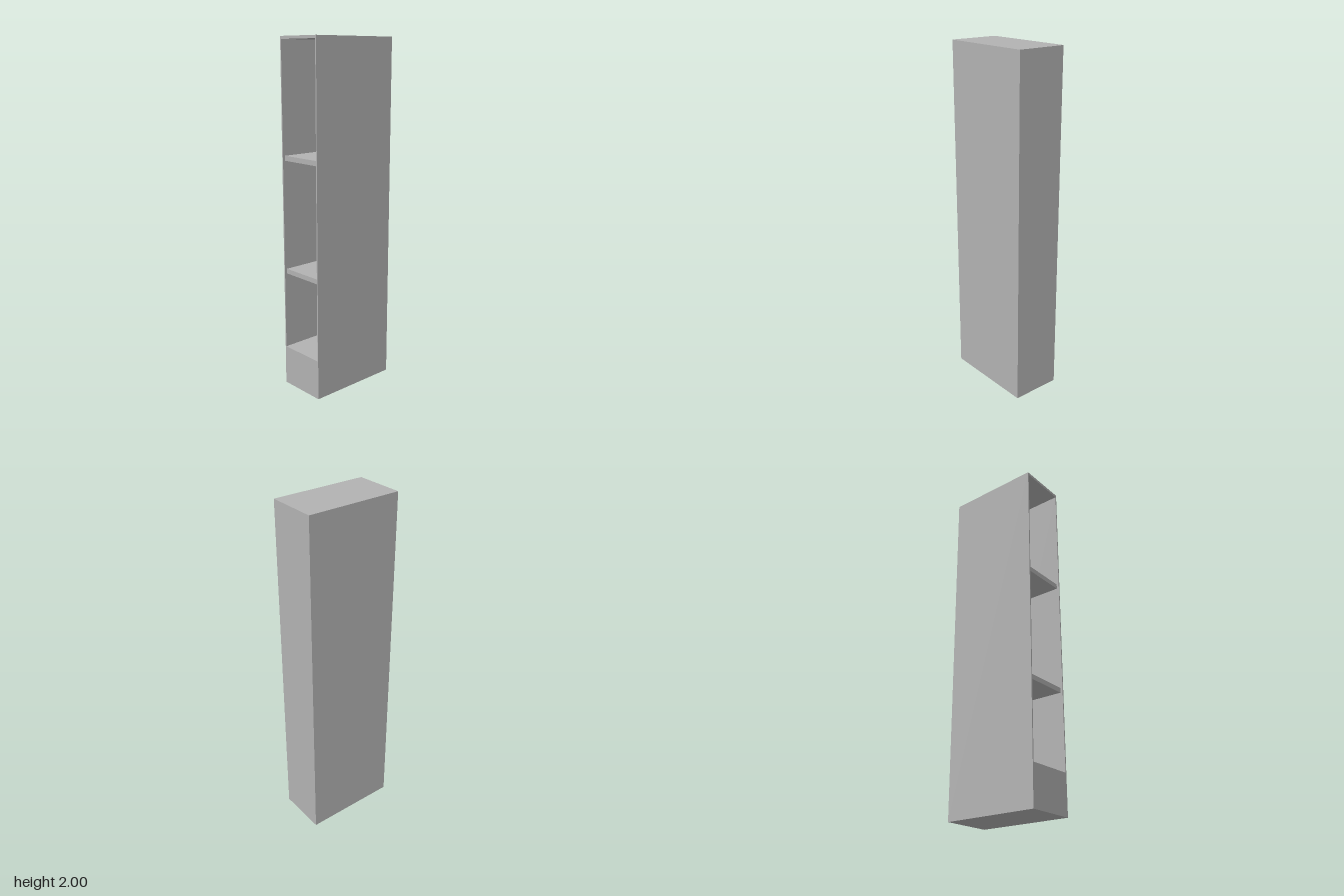
import * as THREE from 'three';

const W = 0.292, H = 2, D = 0.556;   // overall size
const SIDE = 0.007, TOP = 0.016, BACK = 0.012, BASE = 0.23;

export function createModel() {
  const group = new THREE.Group();
  group.name = 'tallShelfCabinet';
  const grey = new THREE.MeshStandardMaterial({ color: 0xb2b2b2 });
  grey.name = 'plain grey';

  // Box given by its lower and upper limits on each axis
  const panel = (name, [x0, x1], [y0, y1], [z0, z1]) => {
    const mesh = new THREE.Mesh(new THREE.BoxGeometry(x1 - x0, y1 - y0, z1 - z0), grey);
    mesh.position.set((x0 + x1) / 2, (y0 + y1) / 2, (z0 + z1) / 2);
    mesh.name = name;
    group.add(mesh);
  };

  const inner = [-W / 2 + SIDE, W / 2 - SIDE];
  const depth = [-D / 2, D / 2];

  // Carcass: full-height sides, closed base block, top and back
  panel('rightSide', [-W / 2, inner[0]], [0, H], depth);
  panel('leftSide', [inner[1], W / 2], [0, H], depth);
  panel('base', inner, [0, BASE], depth);
  panel('top', inner, [H - TOP, H], depth);
  panel('back', inner, [BASE, H - TOP], [-D / 2, -D / 2 + BACK]);

  // Two shelves set slightly behind the front edge
  for (const [name, y] of [['lowerShelf', 0.677], ['upperShelf', 1.331]]) {
    panel(name, inner, [y, y + 0.028], [-D / 2 + BACK, D / 2 - 0.014]);
  }
  return group;
}
